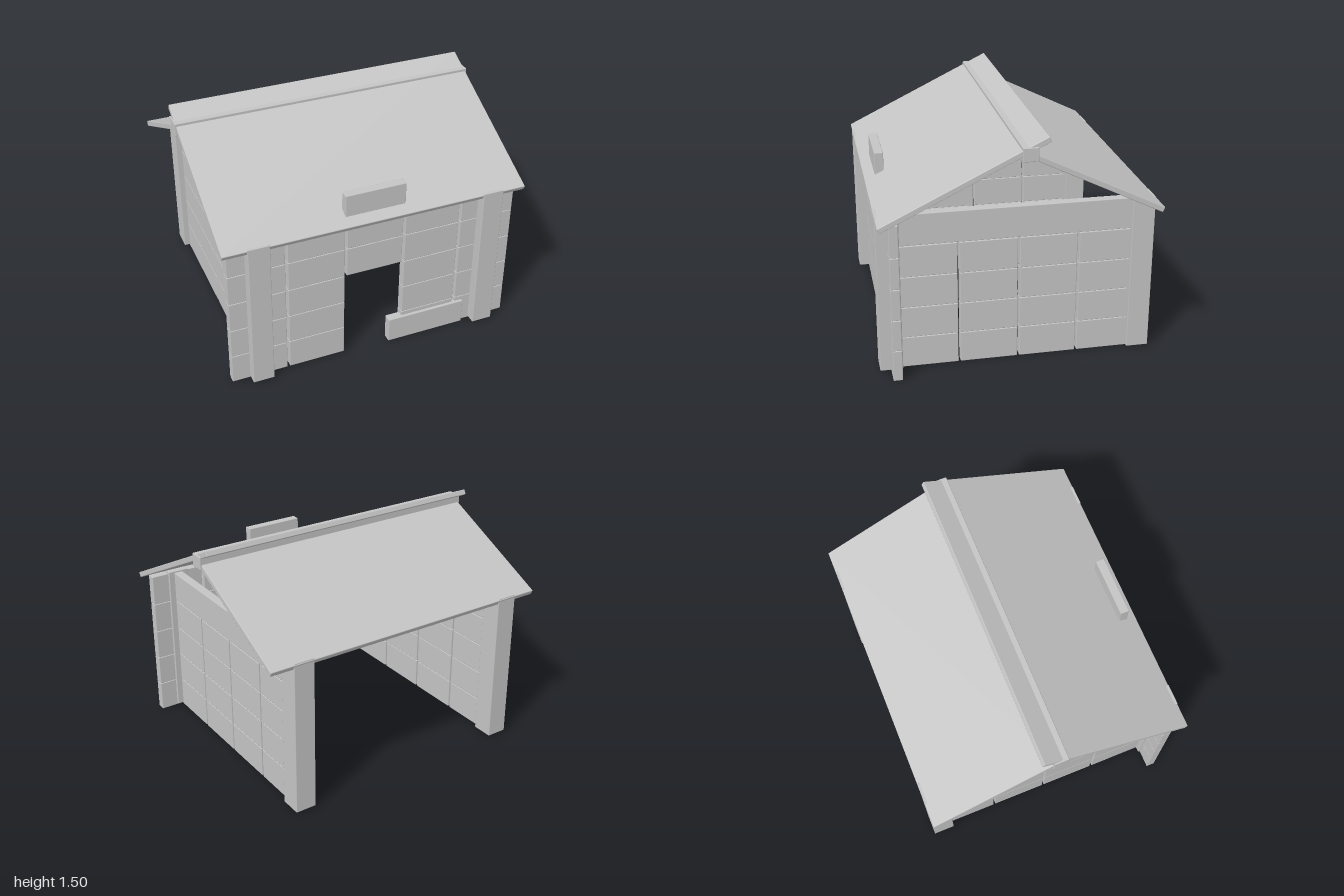
import * as THREE from 'three';
import { RoundedBoxGeometry } from 'three/addons/geometries/RoundedBoxGeometry.js';

export function createModel() {
  const model = new THREE.Group();
  model.name = 'shed';
  const grey = new THREE.MeshStandardMaterial({ color: 0xc4c4c4 });
  grey.name = 'plain grey';

  // Slightly bevelled box given by its extents on each axis
  const block = (name, [x0, x1], [y0, y1], [z0, z1], parent = model) => {
    const geometry = new RoundedBoxGeometry(x1 - x0, y1 - y0, z1 - z0, 1, 0.005);
    const mesh = new THREE.Mesh(geometry, grey);
    mesh.position.set((x0 + x1) / 2, (y0 + y1) / 2, (z0 + z1) / 2);
    mesh.name = name;
    parent.add(mesh);
    return mesh;
  };
  const span = (side, a, b) => (side > 0 ? [a, b] : [-b, -a]);
  const row = (i) => [i * 0.202, i * 0.202 + 0.201];
  const frontZ = [0.727, 0.785];

  // Front wall: two columns of blocks each side of the doorway
  const frontWall = new THREE.Group();
  frontWall.name = 'frontWall';
  model.add(frontWall);
  for (const side of [-1, 1]) {
    for (let i = 0; i < 5; i++) {
      block('frontBlock', span(side, 0.2, 0.57), row(i), frontZ, frontWall);
      block('cornerBlock', span(side, 0.585, 0.95), row(i), frontZ, frontWall);
    }
  }
  // Lintel blocks, the topmost poking through the roof
  for (let i = 3; i < 5; i++) block('lintelBlock', [-0.188, 0.185], row(i), frontZ, frontWall);
  block('topBlock', [-0.2, 0.195], [1.012, 1.19], frontZ, frontWall);

  // Low board partly closing the doorway
  block('thresholdBoard', [0.105, 0.64], [0, 0.172], [0.745, 0.803]);

  for (const side of [-1, 1]) {
    // Side wall: four columns of blocks under one long beam
    const wall = new THREE.Group();
    wall.name = side > 0 ? 'leftWall' : 'rightWall';
    model.add(wall);
    const wallX = span(side, 0.735, 0.795);
    for (let c = 0; c < 4; c++) {
      const z1 = 0.72 - c * 0.37;
      for (let i = 0; i < 4; i++) block('sideBlock', wallX, row(i), [z1 - 0.358, z1], wall);
    }
    block('topBeam', wallX, [0.809, 1.01], [-0.748, 0.72], wall);

    // Corner posts
    block('frontPost', span(side, 0.697, 0.835), [0.01, 1.022], [0.712, 0.853]);
    block('backPost', span(side, 0.697, 0.835), [0.01, 1.022], [-0.848, -0.707]);
  }

  // Ridge beam and the two sloping roof panels
  block('ridgeBeam', [-0.997, 0.997], [1.355, 1.44], [-0.08, 0.015]);
  const panel = (name, [z0, y0], [z1, y1]) => {
    const half = Math.hypot(z1 - z0, y1 - y0) / 2;
    const mesh = block(name, [-0.988, 0.988], [-0.0175, 0.0175], [-half, half]);
    mesh.position.set(0, (y0 + y1) / 2, (z0 + z1) / 2);
    mesh.rotation.x = Math.atan((y0 - y1) / (z1 - z0));
  };
  panel('frontRoof', [-0.148, 1.482], [0.845, 0.997]);
  panel('backRoof', [-0.845, 0.997], [-0.035, 1.392]);

  return model;
}
